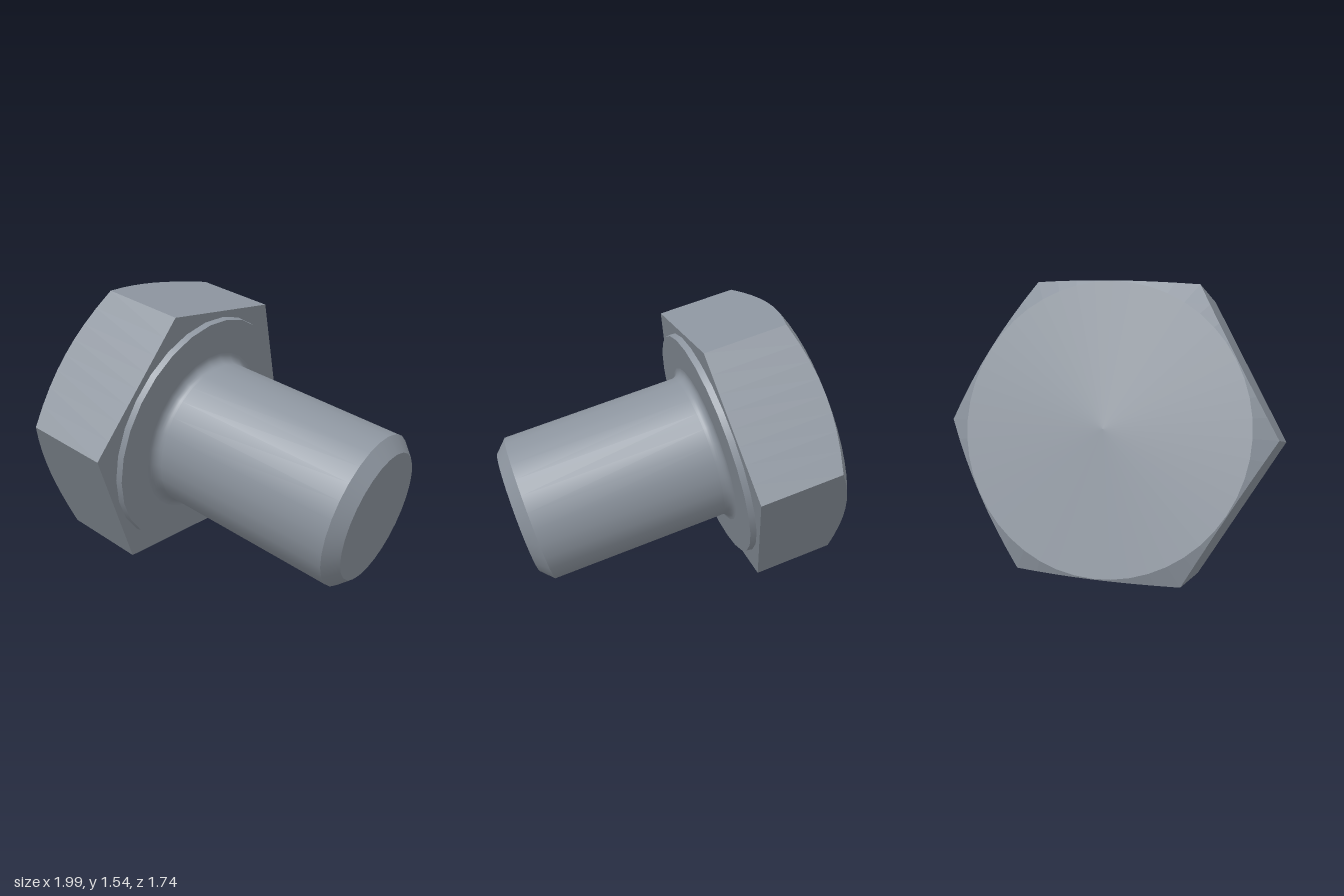
import * as THREE from 'three';

const R = 0.839;                      // hexagon corner radius
const FLAT = R * Math.cos(Math.PI / 6);
const HEAD = 0.535;                   // head height
const DISC = FLAT - 0.004;            // flat end disc inside the chamfer

// Hexagonal head below y = 0, its lower corners cut by a 30 degree cone
function headGeometry() {
  const pos = [];
  const tri = (...pts) => pts.forEach((p) => pos.push(p.x, p.y, p.z));
  const quad = (a, b, c, d) => { tri(a, b, c); tri(a, c, d); };
  const steps = 8, n = steps * 6;
  const column = (i) => {
    const a = (i / n) * Math.PI * 2;
    const local = (((i % steps) / steps) - 0.5) * Math.PI / 3;
    const r = FLAT / Math.cos(local);
    const at = (rad, y) => new THREE.Vector3(rad * Math.sin(a), y, rad * Math.cos(a));
    return {
      top: at(r, 0),
      edge: at(r, -HEAD + (r - DISC) * Math.tan(Math.PI / 6)),
      disc: at(DISC, -HEAD),
    };
  };
  const topMid = new THREE.Vector3(0, 0, 0);
  const endMid = new THREE.Vector3(0, -HEAD, 0);
  for (let i = 0; i < n; i++) {
    const a = column(i), b = column(i + 1);
    tri(topMid, a.top, b.top);
    quad(a.edge, b.edge, b.top, a.top);
    quad(a.disc, b.disc, b.edge, a.edge);
    tri(endMid, b.disc, a.disc);
  }
  const g = new THREE.BufferGeometry();
  g.setAttribute('position', new THREE.Float32BufferAttribute(pos, 3));
  g.computeVertexNormals();
  return g;
}

export function createModel() {
  const steel = new THREE.MeshStandardMaterial({ color: 0x8c949e });
  steel.name = 'steel';
  const bolt = new THREE.Group();
  bolt.name = 'hexBolt';

  const add = (name, geometry) => {
    const mesh = new THREE.Mesh(geometry, steel);
    mesh.name = name;
    bolt.add(mesh);
  };
  // Turned surface from [radius, height] points, smooth within one call
  const turned = (name, pts) =>
    add(name, new THREE.LatheGeometry(pts.map(([r, y]) => new THREE.Vector2(r, y)), 28));

  add('head', headGeometry());

  // Raised bearing face under the head
  const washer = 0.035, shaft = 0.436, fillet = 0.05;
  turned('washerRim', [[0.69, 0], [0.685, washer]]);
  turned('washerFace', [[0.685, washer], [shaft + fillet, washer]]);

  // Shank with a rounded root and a chamfered tip
  const profile = [];
  for (let i = 0; i <= 6; i++) {
    const a = (i / 6) * Math.PI / 2;
    profile.push([shaft + fillet * (1 - Math.sin(a)), washer + fillet * (1 - Math.cos(a))]);
  }
  turned('shankRoot', profile);
  turned('shank', [[shaft, washer + fillet], [shaft, 1.13]]);
  turned('tipChamfer', [[shaft, 1.13], [0.364, 1.2]]);
  turned('tipFace', [[0.364, 1.2], [0, 1.2]]);

  // Lay the bolt down, resting on a head flat and the shank tip
  const yaw = THREE.MathUtils.degToRad(12), tilt = THREE.MathUtils.degToRad(14.5);
  const axis = new THREE.Vector3(
    Math.cos(tilt) * Math.cos(yaw), -Math.sin(tilt), Math.cos(tilt) * Math.sin(yaw));
  const corner = new THREE.Vector3(-Math.sin(yaw), 0, Math.cos(yaw));
  const side = new THREE.Vector3().crossVectors(axis, corner);
  bolt.quaternion.setFromRotationMatrix(new THREE.Matrix4().makeBasis(side, axis, corner));
  bolt.position.set(-0.26, 0.703, 0.048);

  const model = new THREE.Group();
  model.name = 'model';
  model.add(bolt);
  return model;
}
